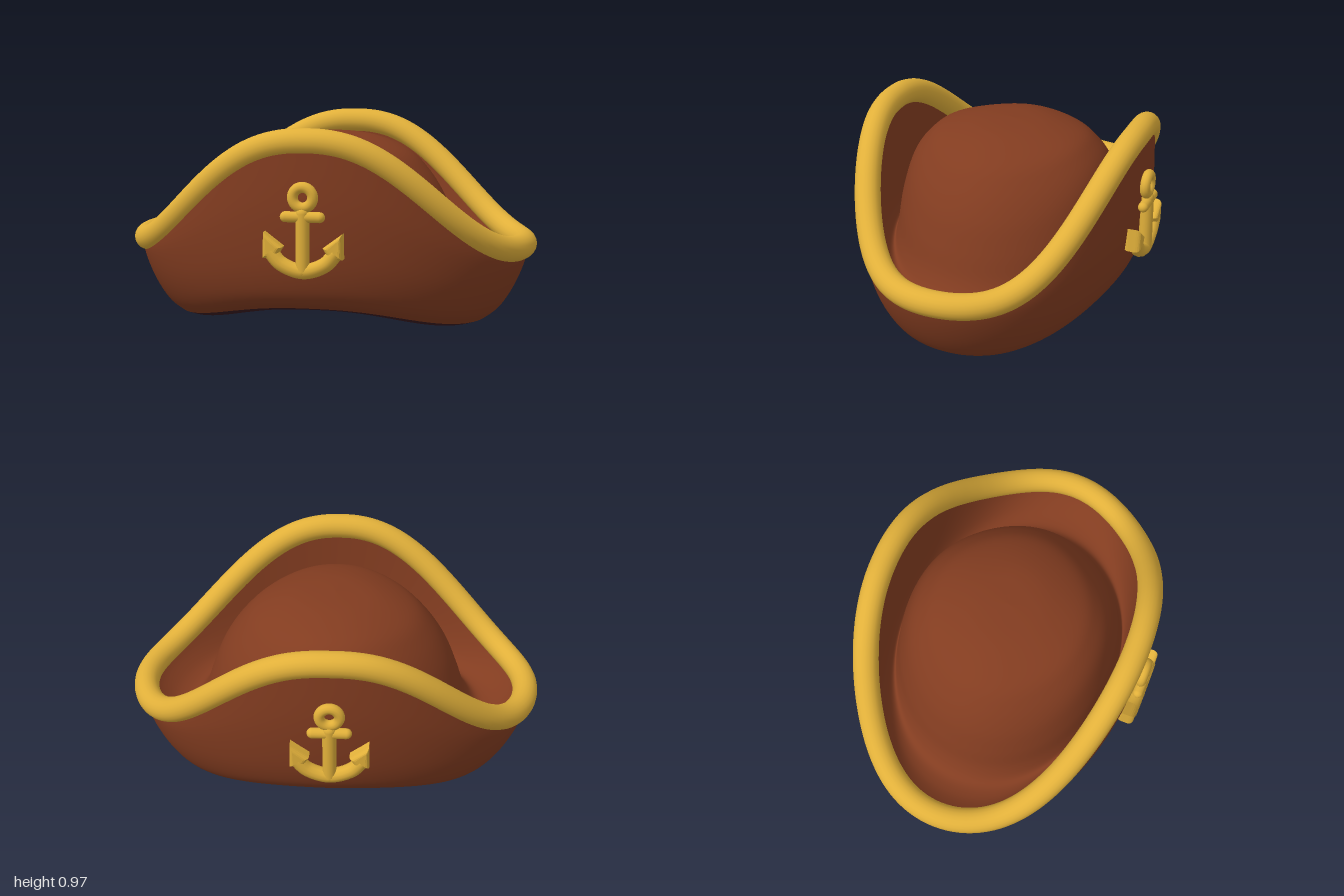
import * as THREE from 'three';

const brown = new THREE.MeshStandardMaterial({ color: 0x823c20 });
brown.name = 'brown felt';
const gold = new THREE.MeshStandardMaterial({ color: 0xe1b03a });
gold.name = 'gold trim';
const dark = new THREE.MeshStandardMaterial({ color: 0x391b21 });
dark.name = 'dark lining';

const points = list => list.map(([x, y]) => new THREE.Vector2(x, y));

// How heights rise around the ellipse: 0 at the sides, 1 at the front and back
const swoop = t => 1 - (1 - Math.sin(t) ** 4) ** 1.2;

function add(parent, name, geometry, material) {
  const mesh = new THREE.Mesh(geometry, material);
  mesh.name = name;
  parent.add(mesh);
  return mesh;
}

// Elliptical shell of closed loops, blending a side (x, y) and a front (z, y) profile
function blendedShell(sideProfile, frontProfile, rows) {
  const side = new THREE.SplineCurve(points(sideProfile));
  const front = new THREE.SplineCurve(points(frontProfile));
  const cols = 128, pos = [], index = [];
  for (let j = 0; j <= rows; j++) {
    const p = side.getPoint(j / rows), q = front.getPoint(j / rows);
    for (let i = 0; i < cols; i++) {
      const t = (i / cols) * Math.PI * 2;
      pos.push(p.x * Math.cos(t), p.y + (q.y - p.y) * swoop(t), q.x * Math.sin(t));
    }
  }
  for (let j = 0; j < rows; j++)
    for (let i = 0; i < cols; i++) {
      const n = (i + 1) % cols;
      const a = j * cols + i, b = j * cols + n, c = a + cols, d = b + cols;
      index.push(a, c, b, b, c, d);
    }
  const g = new THREE.BufferGeometry();
  g.setAttribute('position', new THREE.Float32BufferAttribute(pos, 3));
  g.setIndex(index);
  g.computeVertexNormals();
  return g;
}

function makeAnchor() {
  const anchor = new THREE.Group();
  const z = 0.69;
  add(anchor, 'anchorRing', new THREE.TorusGeometry(0.046, 0.025, 12, 32), gold).position.set(0, 0.667, z);
  add(anchor, 'anchorShank', new THREE.CapsuleGeometry(0.032, 0.26, 6, 16), gold).position.set(0, 0.465, z);
  const stock = add(anchor, 'anchorStock', new THREE.CapsuleGeometry(0.025, 0.155, 6, 16), gold);
  stock.rotation.z = Math.PI / 2;
  stock.position.set(0, 0.58, z + 0.004);

  // Curved arms
  const arc = new THREE.CatmullRomCurve3(
    [[-0.15, 0.42], [-0.1, 0.365], [0, 0.332], [0.1, 0.365], [0.15, 0.42]]
      .map(([x, y]) => new THREE.Vector3(x, y, z - 0.004)));
  add(anchor, 'anchorArms', new THREE.TubeGeometry(arc, 32, 0.035, 12), gold);

  // Pointed flukes
  for (const s of [-1, 1]) {
    const outline = points([[0.168 * s, 0.482], [0.118 * s, 0.438], [0.135 * s, 0.41], [0.164 * s, 0.41]]);
    const fluke = new THREE.ExtrudeGeometry(new THREE.Shape(outline), {
      depth: 0.036, bevelThickness: 0.024, bevelSize: 0.02, bevelSegments: 4 });
    add(anchor, s < 0 ? 'rightFluke' : 'leftFluke', fluke, gold).position.z = 0.657;
  }
  return anchor;
}

export function createModel() {
  const hat = new THREE.Group();
  hat.name = 'hat';

  // Saddle-shaped underside, curling up a little at the sides
  add(hat, 'underside', blendedShell(
    [[0, 0.09], [0.2, 0.082], [0.4, 0.05], [0.6, 0.012], [0.7, 0.001], [0.765, 0.018]],
    [[0, 0.09], [0.13, 0.091], [0.26, 0.094], [0.39, 0.1], [0.46, 0.108], [0.515, 0.125]], 24), dark);

  // Outer brim wall, bulging up from the underside to the rim
  add(hat, 'brimOuter', blendedShell(
    [[0.765, 0.018], [0.825, 0.065], [0.878, 0.14], [0.922, 0.23], [0.952, 0.32], [0.955, 0.375]],
    [[0.515, 0.125], [0.57, 0.16], [0.615, 0.235], [0.65, 0.38], [0.67, 0.62], [0.663, 0.9]], 30), brown);

  // Inner brim wall flowing through the trough and over the rounded crown
  add(hat, 'brimInnerAndCrown', blendedShell(
    [[0.93, 0.375], [0.87, 0.31], [0.79, 0.26], [0.71, 0.255], [0.65, 0.33], [0.605, 0.46],
      [0.55, 0.6], [0.47, 0.725], [0.37, 0.82], [0.2, 0.888], [0, 0.905]],
    [[0.615, 0.91], [0.59, 0.6], [0.57, 0.42], [0.55, 0.36], [0.54, 0.42], [0.52, 0.56],
      [0.475, 0.71], [0.41, 0.8], [0.33, 0.855], [0.17, 0.895], [0, 0.905]], 60), brown);

  // Swooping gold rim
  const rim = [];
  for (let i = 0; i < 64; i++) {
    const t = (i / 64) * Math.PI * 2;
    rim.push(new THREE.Vector3(0.94 * Math.cos(t), 0.375 + 0.535 * swoop(t), 0.628 * Math.sin(t)));
  }
  add(hat, 'rimTrim', new THREE.TubeGeometry(new THREE.CatmullRomCurve3(rim, true), 192, 0.061, 20, true), gold);

  // Anchor badges on front and back
  const front = makeAnchor();
  front.name = 'frontAnchor';
  const back = makeAnchor();
  back.name = 'backAnchor';
  back.rotation.y = Math.PI;
  hat.add(front, back);
  return hat;
}
